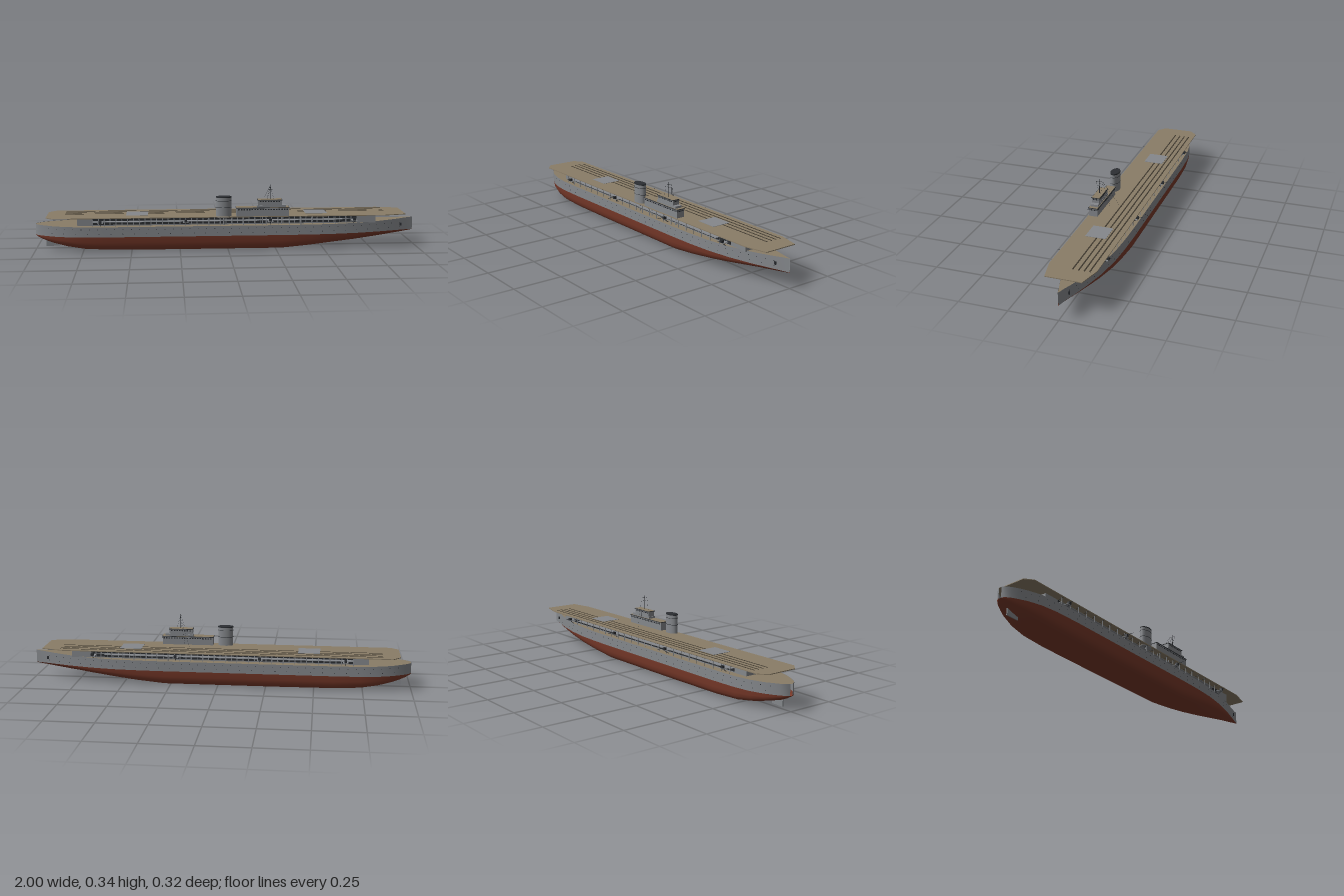
import * as THREE from 'three';
import { mergeGeometries } from 'three/addons/utils/BufferGeometryUtils.js';

const mat = (name, color, side = THREE.FrontSide) => {
  const m = new THREE.MeshStandardMaterial({ color, side });
  m.name = name;
  return m;
};

export function createModel() {
  const ship = new THREE.Group();
  ship.name = 'ship';
  const grey = mat('hull grey', 0x85888c, THREE.DoubleSide);
  const red = mat('bottom red', 0x7a3a2a, THREE.DoubleSide);
  const tan = mat('deck tan', 0x8a7d67, THREE.DoubleSide);
  const dark = mat('dark grey', 0x2c2f33);
  const stripe = mat('stripe brown', 0x40392f);

  const add = (name, geo, material, parent = ship) => {
    const m = new THREE.Mesh(Array.isArray(geo) ? mergeGeometries(geo) : geo, material);
    m.name = name;
    parent.add(m);
    return m;
  };
  // box given by its lower and upper limits on each axis
  const box = (x0, x1, y0, y1, z0, z1) =>
    new THREE.BoxGeometry(x1 - x0, y1 - y0, z1 - z0)
      .translate((x0 + x1) / 2, (y0 + y1) / 2, (z0 + z1) / 2);
  // thin round bar between two points
  const bar = (a, b, r, r2 = r) => {
    const p = new THREE.Vector3(...a), d = new THREE.Vector3(...b).sub(p);
    const q = new THREE.Quaternion().setFromUnitVectors(new THREE.Vector3(0, 1, 0), d.clone().normalize());
    return new THREE.CylinderGeometry(r2, r, d.length(), 6)
      .translate(0, d.length() / 2, 0).applyQuaternion(q).translate(...p.toArray());
  };

  // Hull stations: x, half width, keel height, sheer height, V-ness of section
  const WL = 0.077;
  const stations = [
    [-1, 0.008, 0.074, 0.132, 0.3], [-0.99, 0.026, 0.066, 0.132, 0.3], [-0.97, 0.043, 0.055, 0.132, 0.3],
    [-0.94, 0.06, 0.042, 0.132, 0.3], [-0.9, 0.08, 0.03, 0.131, 0.25], [-0.83, 0.102, 0.016, 0.131, 0.15],
    [-0.74, 0.114, 0.006, 0.13, 0.05], [-0.6, 0.118, 0.002, 0.13, 0], [-0.3, 0.118, 0, 0.13, 0],
    [0, 0.118, 0, 0.13, 0], [0.28, 0.118, 0, 0.13, 0], [0.42, 0.115, 0.006, 0.13, 0.15],
    [0.55, 0.107, 0.014, 0.13, 0.35], [0.68, 0.088, 0.026, 0.131, 0.55], [0.8, 0.06, 0.043, 0.134, 0.75],
    [0.9, 0.03, 0.059, 0.138, 0.9], [0.96, 0.011, 0.069, 0.142, 1], [0.995, 0.002, 0.075, 0.144, 1],
  ];
  const bilge = [[0, 0], [0.6, 0.01], [0.76, 0.05], [0.86, 0.15], [0.93, 0.33], [0.975, 0.6], [1, 1]];

  // skin through one row of [z, y] points per station
  const loft = (section) => {
    const pos = [], index = [];
    let n = 0;
    stations.forEach((s, i) => {
      const row = section(s);
      n = row.length;
      row.forEach(([z, y]) => pos.push(s[0], y, z));
      if (i) for (let j = 0; j < n - 1; j++) {
        const a = (i - 1) * n + j, b = i * n + j;
        index.push(a, b, a + 1, b, b + 1, a + 1);
      }
    });
    const g = new THREE.BufferGeometry();
    g.setAttribute('position', new THREE.Float32BufferAttribute(pos, 3));
    g.setIndex(index);
    g.computeVertexNormals();
    return g;
  };
  add('lowerHull', loft(([, w, k, , v]) => {
    const half = bilge.map(([f, t]) => [f * w, k + (WL - k) * (t + (f - t) * v * 0.9)]);
    return [...half.slice(1).reverse().map(([z, y]) => [-z, y]), ...half];
  }), red);
  add('leftHullSide', loft(([, w, , s]) => [[w, s], [w, WL]].map(([z, y]) => [-z, y])), grey);
  add('rightHullSide', loft(([, w, , s]) => [[w, WL], [w, s]]), grey);
  add('mainDeck', loft(([, w, , s]) => [[w, s - 0.001], [-w, s - 0.001]]), tan);
  add('rudder', box(-0.95, -0.88, 0.012, 0.06, -0.003, 0.003), grey);

  // Portholes follow the hull side
  const station = (x) => {
    const i = Math.max(1, stations.findIndex((s) => s[0] >= x));
    const [a, b] = [stations[i - 1], stations[i]];
    const t = (x - a[0]) / (b[0] - a[0]);
    return { w: a[1] + (b[1] - a[1]) * t, turn: Math.atan2(a[1] - b[1], b[0] - a[0]) };
  };
  const ports = [];
  for (const side of [1, -1]) for (const [y, step, off] of [[0.117, 0.043, 0], [0.094, 0.061, 0.02]])
    for (let x = -0.93 + off; x < 0.95; x += step) {
      const { w, turn } = station(x);
      ports.push(new THREE.CircleGeometry(0.0022, 6).rotateY(side > 0 ? turn : Math.PI - turn)
        .translate(x, y, side * (w + 0.0006)));
    }
  add('portholes', ports, dark);
  add('anchors', [1, -1].map((s) => box(0.922, 0.932, 0.1, 0.115, s * 0.023 - 0.004, s * 0.023 + 0.004)), dark);

  // Hangar under the flight deck, with two rows of openings each side
  add('hangar', box(-0.78, 0.78, 0.128, 0.174, -0.073, 0.073), grey);
  const openings = [], posts = [], braces = [], walks = [];
  for (const s of [1, -1]) {
    for (let i = 0; i < 46; i++) {
      const x = -0.7 + i * 0.03;
      for (const y of [0.135, 0.155])
        openings.push(box(x + 0.002, x + 0.027, y, y + 0.015, s * 0.0745 - 0.0015, s * 0.0745 + 0.0015));
      if (i % 2 === 0) {
        const w = Math.min(0.104, station(x).w - 0.004);
        posts.push(box(x - 0.0015, x + 0.0015, 0.13, 0.173, s * w - 0.0015, s * w + 0.0015));
        braces.push(bar([x, 0.163, s * 0.075], [x, 0.173, s * 0.114], 0.0012));
      }
    }
    walks.push(box(-0.7, 0.6, 0.151, 0.1535, Math.min(s * 0.074, s * 0.1), Math.max(s * 0.074, s * 0.1)));
  }
  add('hangarOpenings', openings, dark);
  add('galleryPosts', posts, grey);
  add('deckBraces', braces, dark);
  add('galleryWalkways', walks, grey);

  // Flight deck outline (shape y becomes -z)
  const outline = new THREE.Shape([
    [-0.94, -0.08], [-0.9, -0.115], [0.82, -0.115], [0.935, -0.09],
    [0.935, 0.09], [0.82, 0.12], [-0.9, 0.12], [-0.94, 0.08],
  ].map((p) => new THREE.Vector2(...p)));
  add('flightDeck', new THREE.ExtrudeGeometry(outline, { depth: 0.004, bevelEnabled: false })
    .rotateX(-Math.PI / 2).translate(0, 0.173, 0), tan);
  add('deckStripes', [-0.09, -0.064, -0.037, -0.008].map((z) =>
    box(-0.85, 0.84, 0.1765, 0.1776, z - 0.0035, z + 0.0035)), stripe);
  add('lifts', [-0.472, 0.468].map((x) => box(x - 0.057, x + 0.057, 0.1765, 0.1785, -0.053, 0.051)), grey);

  // Guns on side platforms
  for (const s of [1, -1]) for (const [x, reach] of [[-0.66, 0.137], [-0.22, 0.158], [0.22, 0.158], [0.66, 0.14]]) {
    const gun = new THREE.Group();
    gun.name = 'sideGun';
    gun.position.x = x;
    ship.add(gun);
    add('platform', box(-0.014, 0.014, 0.147, 0.15, s * 0.102 - 0.016, s * 0.102 + 0.016), grey, gun);
    add('platformStay', bar([0, 0.13, s * 0.09], [0, 0.147, s * 0.115], 0.0015), dark, gun);
    add('mount', box(-0.007, 0.007, 0.15, 0.163, s * 0.115 - 0.007, s * 0.115 + 0.007), dark, gun);
    add('barrel', bar([0, 0.16, s * 0.115], [0, 0.16, s * reach], 0.002, 0.001), dark, gun);
  }

  // Funnel: an oval tube with a dark cap
  const oval = (r, y0, y1) => new THREE.CylinderGeometry(r, r, y1 - y0, 28)
    .scale(1, 1, 0.6).translate(-0.023, (y0 + y1) / 2, 0.088);
  add('funnel', oval(0.04, 0.17, 0.278), grey);
  add('funnelCap', oval(0.0405, 0.274, 0.28), dark);
  add('funnelBands', [oval(0.041, 0.257, 0.259), oval(0.041, 0.222, 0.224)], dark);
  add('islandSupports', [-0.023, 0.08, 0.18, 0.28].map((x) => bar([x, 0.128, 0.088], [x, 0.175, 0.088], 0.004)), grey);

  // Island: two tiers with rims, tan roofs and window rows
  const island = new THREE.Group();
  island.name = 'island';
  ship.add(island);
  const tier = (x0, x1, y0, y1, z0, z1, wy) => {
    add('tier', box(x0, x1, y0, y1, z0, z1), grey, island);
    add('rim', box(x0 - 0.003, x1 + 0.003, y1 - 0.003, y1, z0 - 0.003, z1 + 0.003), dark, island);
    add('roof', box(x0 - 0.001, x1 + 0.001, y1, y1 + 0.001, z0 - 0.001, z1 + 0.001), tan, island);
    const panes = [];
    for (let x = x0 + 0.008; x < x1 - 0.01; x += 0.014)
      panes.push(box(x, x + 0.008, wy, wy + 0.006, z0 - 0.001, z1 + 0.001));
    for (let z = z0 + 0.003; z < z1 - 0.006; z += 0.008)
      panes.push(box(x1 - 0.001, x1 + 0.001, wy, wy + 0.006, z, z + 0.005));
    add('windows', panes, dark, island);
  };
  tier(0.043, 0.315, 0.176, 0.222, 0.066, 0.11, 0.209);
  tier(0.155, 0.278, 0.222, 0.262, 0.069, 0.107, 0.25);
  add('bridgeWing', box(0.15, 0.3, 0.2225, 0.234, 0.068, 0.108), grey, island);

  // Mast with yard and rigging
  add('mast', bar([0.22, 0.26, 0.088], [0.22, 0.34, 0.088], 0.0025, 0.0012), dark, island);
  add('yards', [bar([0.22, 0.327, 0.07], [0.22, 0.327, 0.106], 0.0009),
    bar([0.208, 0.312, 0.088], [0.232, 0.312, 0.088], 0.0009)], dark, island);
  add('rigging', [[0.07, 0.16, 0.176, 0], [0.07, 0.19, 0.176, 0.042], [0.106, 0.2, 0.262, 0.1], [0.07, 0.24, 0.262, 0.076]]
    .map(([z, x, y, z1]) => bar([0.22, 0.327, z], [x, y, z1], 0.0004)), dark, island);

  return ship;
}
